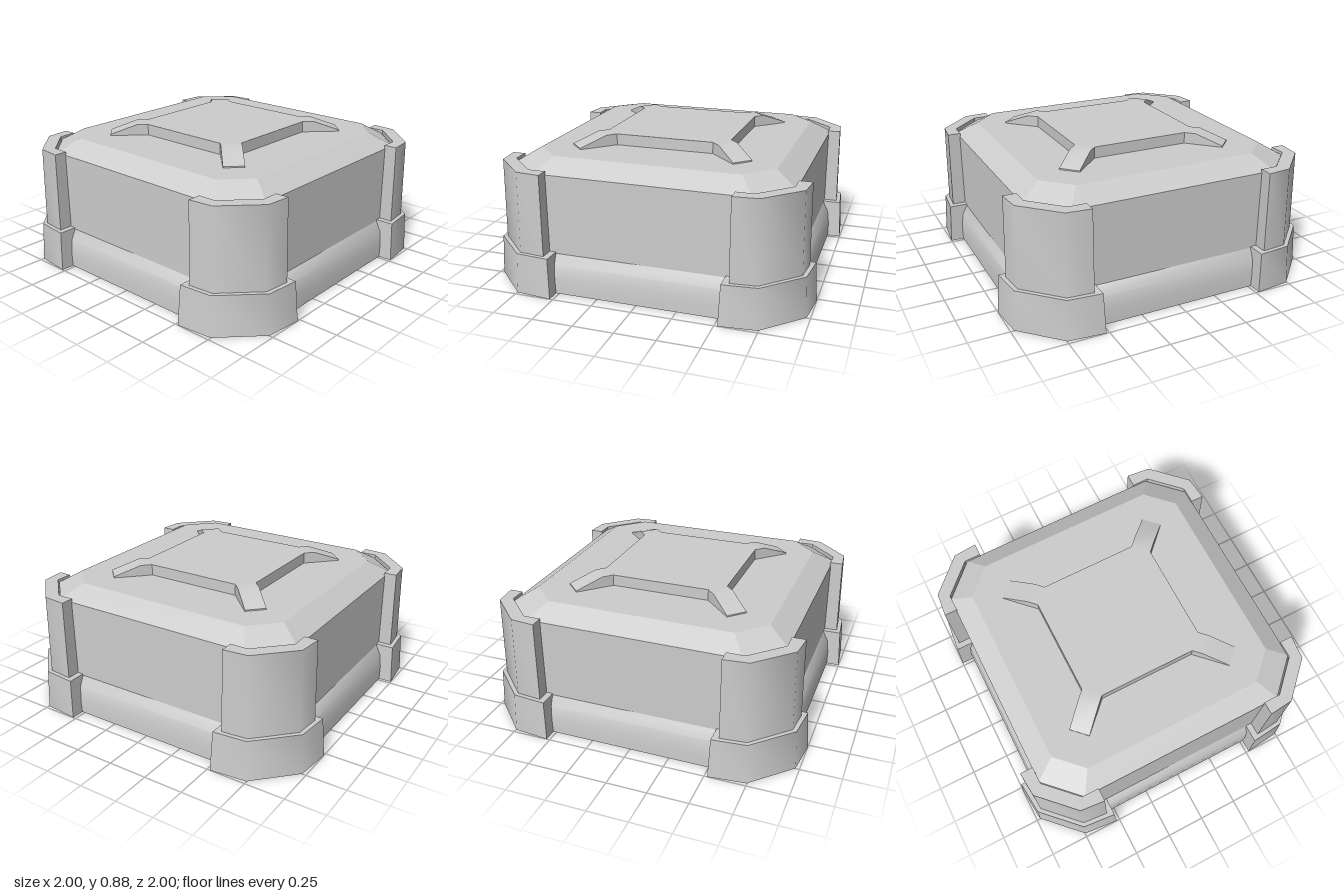
import * as THREE from 'three';
import { toCreasedNormals } from 'three/addons/utils/BufferGeometryUtils.js';

// Skin a row of cross-sections (counter-clockwise seen from the far end) and cap both ends.
function loft(rings, crease) {
  const n = rings[0].length;
  const pos = [];
  const tri = (a, b, c) => pos.push(...a, ...b, ...c);
  for (let r = 0; r < rings.length - 1; r++) {
    for (let i = 0; i < n; i++) {
      const j = (i + 1) % n;
      const a = rings[r], b = rings[r + 1];
      tri(a[i], a[j], b[j]);
      tri(a[i], b[j], b[i]);
    }
  }
  const first = rings[0], last = rings[rings.length - 1];
  for (let i = 1; i < n - 1; i++) {
    tri(first[0], first[i + 1], first[i]);
    tri(last[0], last[i], last[i + 1]);
  }
  const geo = new THREE.BufferGeometry();
  geo.setAttribute('position', new THREE.Float32BufferAttribute(pos, 3));
  geo.computeVertexNormals();
  return crease ? toCreasedNormals(geo, crease) : geo;
}

// Square of half-width h whose corners are cut off beyond c, at height y.
function octagon(h, c, y) {
  return [[h, -c], [c, -h], [-c, -h], [-h, -c], [-h, c], [-c, h], [c, h], [h, c]]
    .map(([x, z]) => [x, y, z]);
}

// Corner guard swept round the +x +z corner. Each level holds y and, for the
// end and the bend of one arm, the outer and inner plan points.
function cornerGuard(low, high) {
  const mirror = pts => [...pts, ...pts.map(([x, z]) => [z, x]).reverse()];
  const lo = mirror(low.outer), li = mirror(low.inner);
  const ho = mirror(high.outer), hi = mirror(high.inner);
  const at = ([x, z], y) => [x, y, z];
  const rings = lo.map((p, i) => [
    at(li[i], low.y), at(p, low.y), at(ho[i], high.y), at(hi[i], high.y),
  ]);
  return loft(rings, 0.75);
}

export function createModel() {
  const group = new THREE.Group();
  group.name = 'crate';
  const grey = new THREE.MeshStandardMaterial({ color: 0xcccccc });
  grey.name = 'light grey';

  const add = (name, geo, turn = 0) => {
    const mesh = new THREE.Mesh(geo, grey);
    mesh.name = name;
    mesh.rotation.y = turn * Math.PI / 2;
    group.add(mesh);
  };

  // Rounded skirt round the bottom
  add('baseSkirt', loft([
    octagon(0.915, 0.70, 0),
    octagon(0.915, 0.70, 0.09),
    octagon(0.903, 0.69, 0.18),
    octagon(0.87, 0.665, 0.243),
  ], 0.75));

  // Straight walls and bevelled lid
  add('bodyWalls', loft([octagon(0.87, 0.665, 0.23), octagon(0.87, 0.665, 0.735)]));
  add('bevelledLid', loft([octagon(0.87, 0.665, 0.735), octagon(0.74, 0.58, 0.815)]));

  // Raised plate in the middle of the lid
  add('lidPlate', loft([octagon(0.40, 0.31, 0.805), octagon(0.40, 0.31, 0.885)]));

  // Sloping arm from a plate corner: s is the step out along the diagonal
  const armSection = (s, top) => [
    [0.31 + s, 0.805, 0.40 + s], [0.40 + s, 0.805, 0.31 + s],
    [0.40 + s, top, 0.31 + s], [0.31 + s, top, 0.40 + s],
  ];
  const arm = loft([armSection(0, 0.885), armSection(0.05, 0.885), armSection(0.172, 0.823)], 0.75);

  // Upper and lower corner guards
  const pillar = cornerGuard(
    { y: 0.24, outer: [[0.955, 0.57], [0.94, 0.73]], inner: [[0.865, 0.57], [0.865, 0.68]] },
    { y: 0.757, outer: [[0.948, 0.572], [0.933, 0.725]], inner: [[0.865, 0.572], [0.865, 0.68]] },
  );
  const foot = cornerGuard(
    { y: 0, outer: [[1, 0.52], [0.977, 0.747]], inner: [[0.90, 0.52], [0.90, 0.695]] },
    { y: 0.252, outer: [[0.985, 0.53], [0.965, 0.74]], inner: [[0.86, 0.53], [0.86, 0.66]] },
  );
  for (let k = 0; k < 4; k++) {
    add('lidArm', arm, k);
    add('cornerPillar', pillar, k);
    add('cornerFoot', foot, k);
  }
  return group;
}
